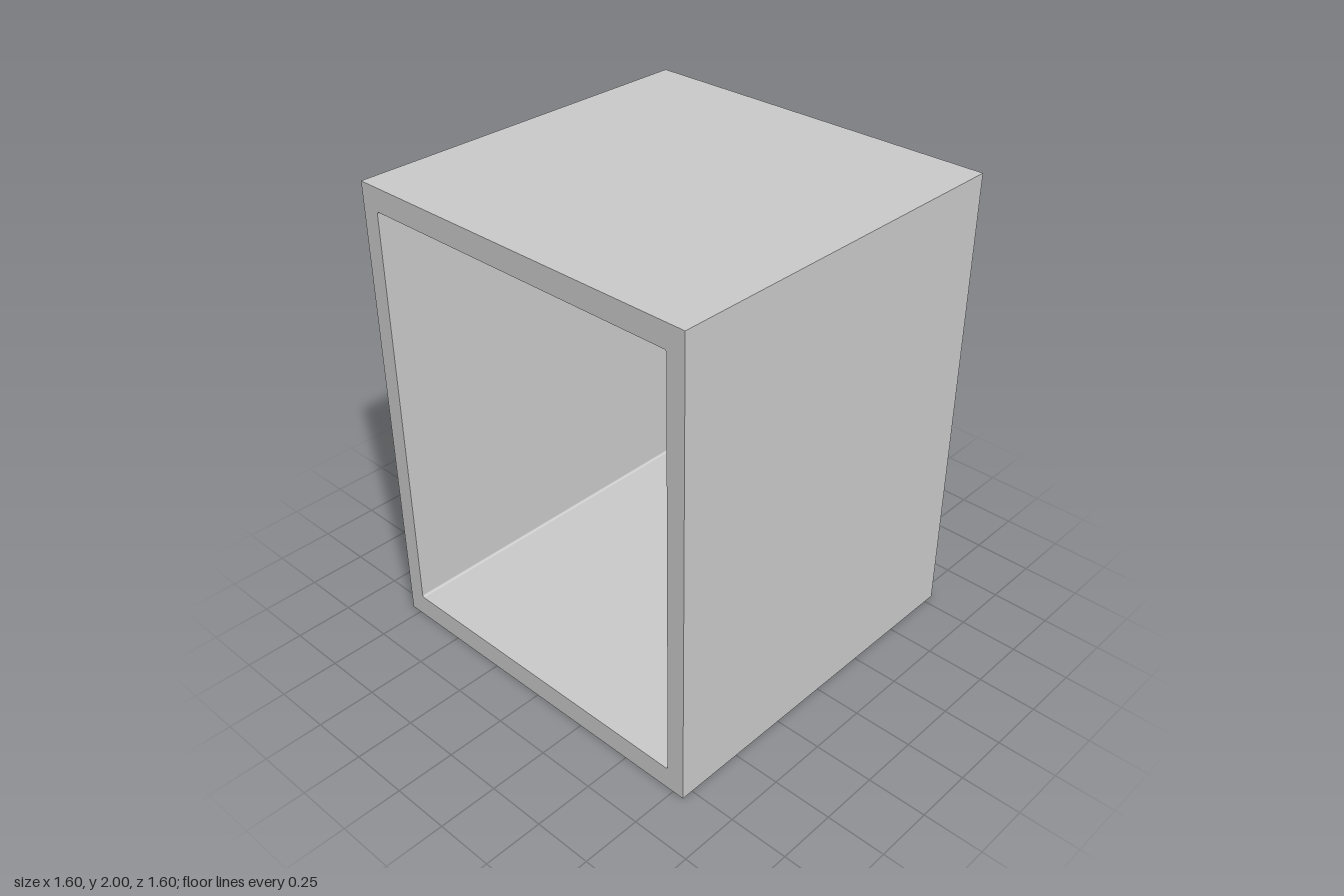
import * as THREE from 'three';

const WIDTH = 1.6, HEIGHT = 2, DEPTH = 1.6;
const OPEN_W = 1.444, OPEN_H = 1.804, BACK = 0.08, CORNER = 0.01;

// Rectangle centred on the origin with small rounded corners
function roundedRect(path, w, h, r) {
  const x = w / 2, y = h / 2;
  path.moveTo(x, -y + r);
  path.absarc(x - r, y - r, r, 0, Math.PI / 2);
  path.absarc(-x + r, y - r, r, Math.PI / 2, Math.PI);
  path.absarc(-x + r, -y + r, r, Math.PI, Math.PI * 1.5);
  path.absarc(x - r, -y + r, r, Math.PI * 1.5, Math.PI * 2);
  path.closePath();
  return path;
}

export function createModel() {
  const group = new THREE.Group();
  group.name = 'openCabinet';
  const material = new THREE.MeshStandardMaterial({ color: 0xcccccc });

  // Four walls, open at the front
  const outline = new THREE.Shape();
  outline.moveTo(-WIDTH / 2, -HEIGHT / 2);
  outline.lineTo(WIDTH / 2, -HEIGHT / 2);
  outline.lineTo(WIDTH / 2, HEIGHT / 2);
  outline.lineTo(-WIDTH / 2, HEIGHT / 2);
  outline.closePath();
  outline.holes.push(roundedRect(new THREE.Path(), OPEN_W, OPEN_H, CORNER));
  const walls = new THREE.Mesh(
    new THREE.ExtrudeGeometry(outline, { depth: DEPTH - BACK, bevelEnabled: false, curveSegments: 5 }),
    material
  );
  walls.name = 'walls';
  walls.position.set(0, HEIGHT / 2, -DEPTH / 2 + BACK);
  group.add(walls);

  // Back panel closing the cavity
  const back = new THREE.Mesh(new THREE.BoxGeometry(WIDTH, HEIGHT, BACK), material);
  back.name = 'backPanel';
  back.position.set(0, HEIGHT / 2, -DEPTH / 2 + BACK / 2);
  group.add(back);

  return group;
}
